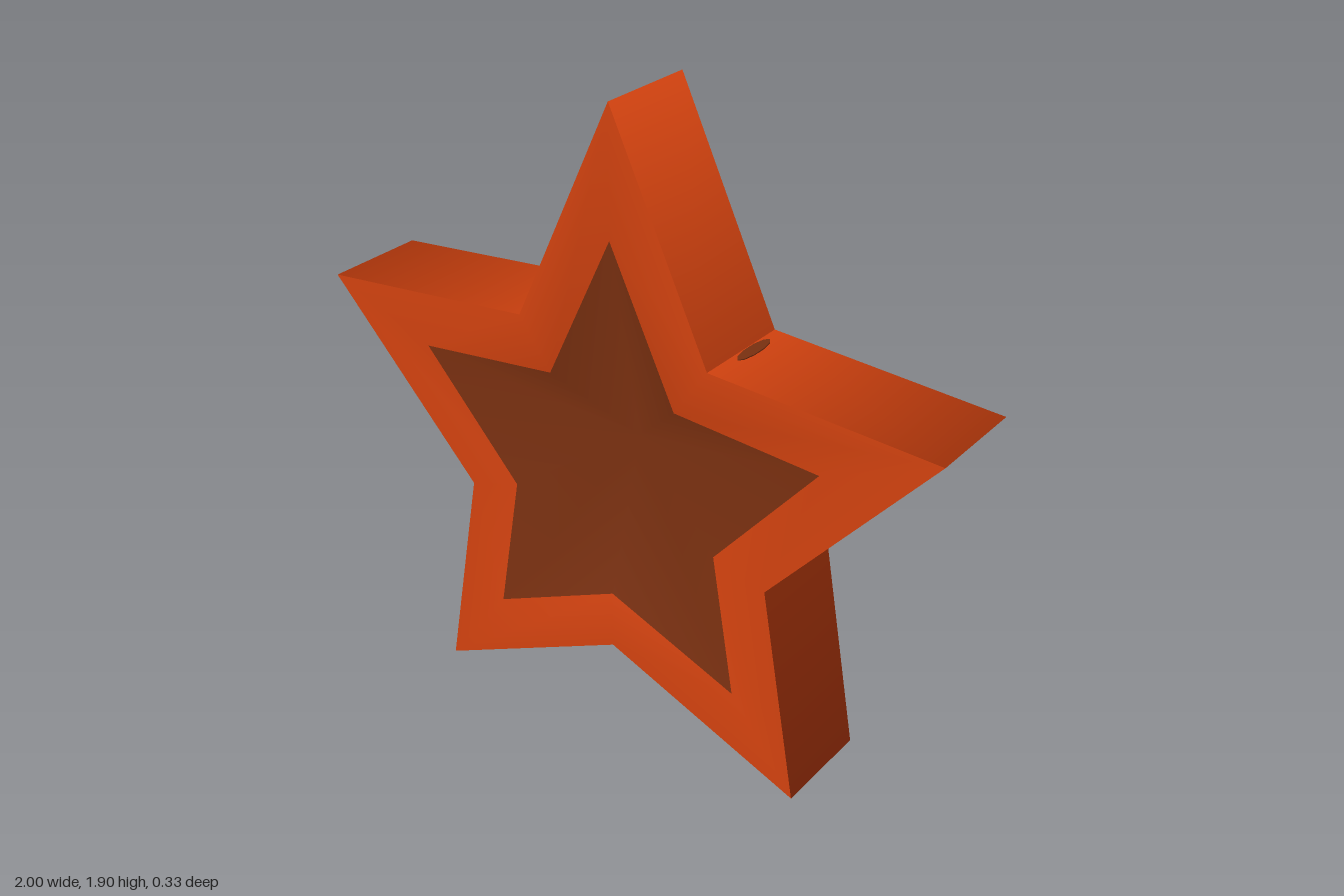
import * as THREE from 'three';

const HALF_DEPTH = 0.163;
const CENTRE = [0, 0.9, 0.03]; // deepest point of each dished face

// Right half of each outline, from the top tip to the bottom notch
const OUTER = starPoints([[0, 1.9], [0.31, 1.235], [1, 1.18], [0.505, 0.64], [0.615, 0], [0, 0.27]]);
const INNER = starPoints([[0, 1.525], [0.207, 1.087], [0.655, 1.045], [0.34, 0.69], [0.41, 0.27], [0, 0.445]]);

// Mirrors a half outline into a closed clockwise star
function starPoints(half) {
  const left = half.slice(1, -1).reverse().map(([x, y]) => [-x, y]);
  return [...half, ...left];
}

function buildGeometry(positions, index) {
  const geometry = new THREE.BufferGeometry();
  geometry.setAttribute('position', new THREE.Float32BufferAttribute(positions, 3));
  geometry.setIndex(index);
  return geometry;
}

// Smooth side band around the star, open at its first point
function bandGeometry(points) {
  const path = [...points, points[0]];
  const edgeNormals = points.map(([x, y], i) =>
    new THREE.Vector2(y - path[i + 1][1], path[i + 1][0] - x).normalize());
  const positions = [];
  const normals = [];
  const index = [];
  path.forEach(([x, y], i) => {
    const before = edgeNormals[Math.max(i - 1, 0)];
    const after = edgeNormals[Math.min(i, points.length - 1)];
    const n = before.clone().add(after).normalize();
    positions.push(x, y, HALF_DEPTH, x, y, -HALF_DEPTH);
    normals.push(n.x, n.y, 0, n.x, n.y, 0);
    const a = 2 * i;
    if (i < points.length) index.push(a, a + 2, a + 1, a + 2, a + 3, a + 1);
  });
  const geometry = buildGeometry(positions, index);
  geometry.setAttribute('normal', new THREE.Float32BufferAttribute(normals, 3));
  return geometry;
}

// Flat rim (group 0) around a shallow star-shaped dish (group 1)
function faceGeometry() {
  const count = OUTER.length;
  const positions = [...OUTER, ...INNER].flatMap(([x, y]) => [x, y, HALF_DEPTH]);
  positions.push(...CENTRE);
  const rim = [];
  const dish = [];
  for (let i = 0; i < count; i++) {
    const j = (i + 1) % count;
    rim.push(j, i, count + i, j, count + i, count + j);
    dish.push(count + j, count + i, 2 * count);
  }
  const geometry = buildGeometry(positions, [...rim, ...dish]);
  geometry.addGroup(0, rim.length, 0);
  geometry.addGroup(rim.length, dish.length, 1);
  geometry.computeVertexNormals();
  return geometry;
}

export function createModel() {
  const group = new THREE.Group();
  group.name = 'star';
  const orange = new THREE.MeshStandardMaterial({ name: 'burnt orange', color: 0xd2420f });
  const brown = new THREE.MeshStandardMaterial({ name: 'dark brown', color: 0x7a3010 });

  const add = (name, geometry, material) => {
    const mesh = new THREE.Mesh(geometry, material);
    mesh.name = name;
    group.add(mesh);
    return mesh;
  };

  // Outer side band, its seam at the upper left notch
  add('sideBand', bandGeometry([...OUTER.slice(1), OUTER[0]]), orange);

  // Front and back faces: orange rim around a dark dished star
  const face = faceGeometry();
  add('frontFace', face, [orange, brown]);
  add('backFace', face, [orange, brown]).rotation.y = Math.PI;

  // Small dark marks on top of the arms, beside the upper notches
  const slope = Math.atan2(1.235 - 1.18, 1 - 0.31);
  for (const [name, side, x, z, width, length] of [
    ['leftMark', 1, 0.332, -0.025, 0.018, 0.078],
    ['rightMark', -1, 0.34, 0.02, 0.022, 0.05],
  ]) {
    const mark = add(name, new THREE.CylinderGeometry(1, 1, 1, 10), brown);
    mark.scale.set(width, 0.006, length);
    mark.position.set(side * x, 1.235 - (x - 0.31) * Math.tan(slope), z);
    mark.rotation.z = -side * slope;
  }

  return group;
}
